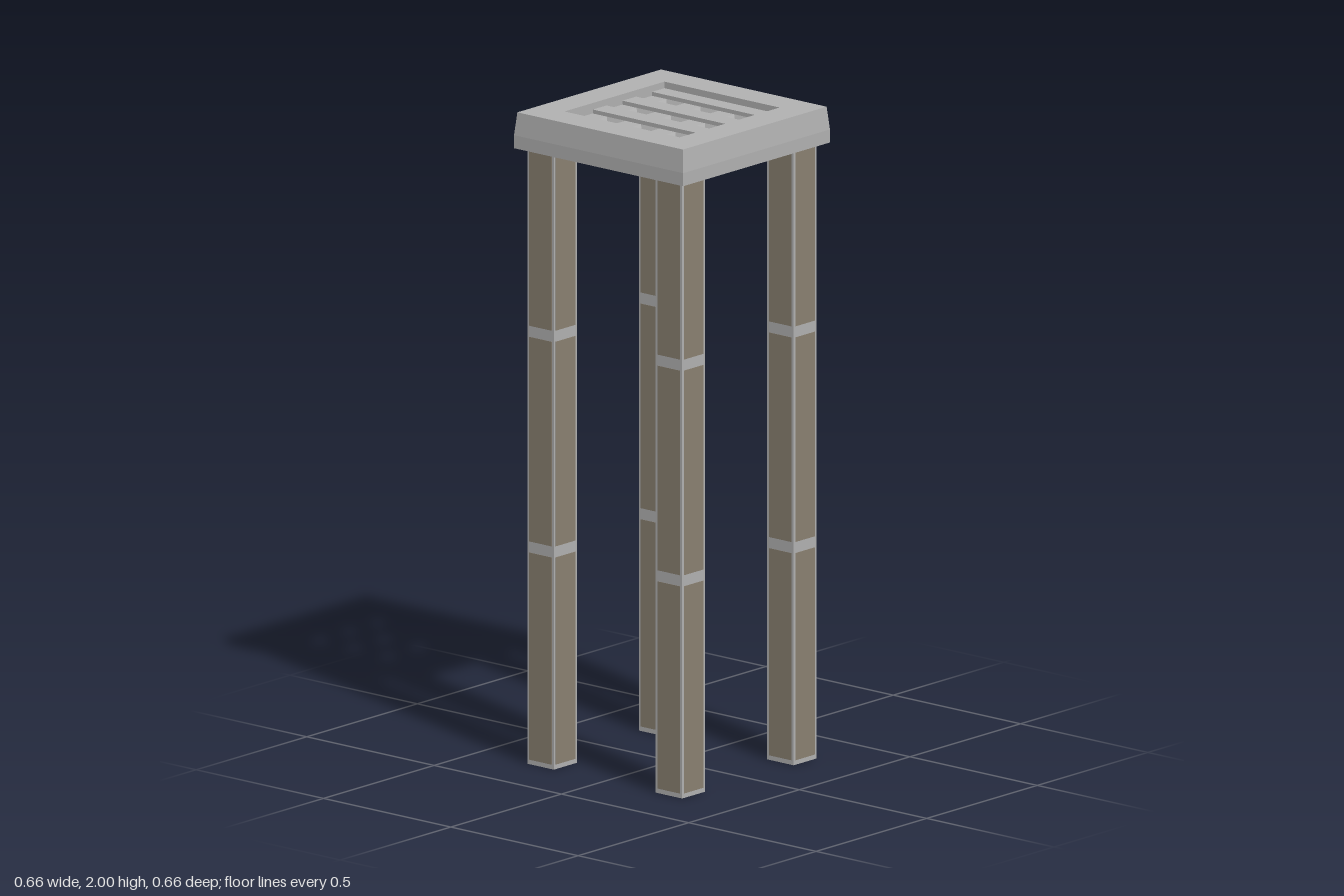
import * as THREE from 'three';

const grey = new THREE.MeshStandardMaterial({ color: 0xb2b2b2 });
grey.name = 'grey metal';
const brown = new THREE.MeshStandardMaterial({ color: 0x8b8171 });
brown.name = 'taupe panel';

function add(parent, name, geometry, material, x = 0, y = 0, z = 0) {
  const mesh = new THREE.Mesh(geometry, material);
  mesh.name = name;
  mesh.position.set(x, y, z);
  parent.add(mesh);
  return mesh;
}

// Sweeps a profile of [half width, height] pairs around a square, with flat faces.
function squareLathe(profile) {
  const points = profile.map(([r, y]) => new THREE.Vector2(r * Math.SQRT2, y));
  const geometry = new THREE.LatheGeometry(points, 4, Math.PI / 4).toNonIndexed();
  geometry.computeVertexNormals();
  return geometry;
}

// Square leg with three panels on every side, separated by bands
function makeLeg(name) {
  const leg = new THREE.Group();
  leg.name = name;
  const width = 0.104, height = 1.9;
  add(leg, 'legCore', new THREE.BoxGeometry(width, height, width), grey, 0, height / 2, 0);
  for (let side = 0; side < 4; side++) {
    const face = new THREE.Group();
    face.name = 'legSide';
    face.rotation.y = side * Math.PI / 2;
    leg.add(face);
    for (const [low, high] of [[0.014, 0.65], [0.684, 1.312], [1.346, 1.89]]) {
      add(face, 'legPanel', new THREE.BoxGeometry(0.088, high - low, 0.002),
        brown, 0, (low + high) / 2, width / 2);
    }
  }
  return leg;
}

// Recessed grille: raised slats, lower crossbars and tapered square holes
function makeGrille() {
  const grille = new THREE.Group();
  grille.name = 'grille';
  const centres = [-0.134, 0, 0.134];
  const half = 0.226, hole = 0.036, neck = 0.024;
  const slatTop = 1.98, barTop = 1.968, floor = 1.945;

  // Solid stretches between neighbouring holes
  const edges = [-half, ...centres.flatMap(c => [c - hole, c + hole]), half];
  for (let i = 0; i < edges.length; i += 2) {
    const size = edges[i + 1] - edges[i];
    const mid = (edges[i + 1] + edges[i]) / 2;
    add(grille, 'slat', new THREE.BoxGeometry(half * 2, slatTop - floor, size),
      grey, 0, (slatTop + floor) / 2, mid);
    for (const z of centres) {
      add(grille, 'crossbar', new THREE.BoxGeometry(size, barTop - floor, hole * 2),
        grey, mid, (barTop + floor) / 2, z);
    }
  }

  // Underside sheet pierced by the hole necks
  const sheet = new THREE.Shape([
    new THREE.Vector2(-half, -half), new THREE.Vector2(half, -half),
    new THREE.Vector2(half, half), new THREE.Vector2(-half, half)]);
  for (const x of centres) {
    for (const z of centres) {
      add(grille, 'holeWalls', squareLathe([[hole, barTop], [neck, floor - 0.001]]), grey, x, 0, z);
      sheet.holes.push(new THREE.Path([
        new THREE.Vector2(x - neck, z - neck), new THREE.Vector2(x - neck, z + neck),
        new THREE.Vector2(x + neck, z + neck), new THREE.Vector2(x + neck, z - neck)]));
    }
  }
  const under = add(grille, 'grilleUnderside', new THREE.ShapeGeometry(sheet), grey, 0, floor - 0.001, 0);
  under.rotation.x = Math.PI / 2;
  return grille;
}

export function createModel() {
  const model = new THREE.Group();
  model.name = 'tallStool';

  // Hollow seat frame with a straight skirt and a slightly tapered upper edge
  add(model, 'seatFrame', squareLathe([
    [0.205, 1.89], [0.332, 1.89], [0.332, 1.93], [0.325, 2], [0.226, 2],
    [0.226, 1.943], [0.205, 1.943], [0.205, 1.89]]), grey);
  model.add(makeGrille());

  // Four legs under the corners
  for (const [name, x, z] of [['frontLeftLeg', 1, 1], ['frontRightLeg', -1, 1],
    ['backLeftLeg', 1, -1], ['backRightLeg', -1, -1]]) {
    const leg = makeLeg(name);
    leg.position.set(x * 0.252, 0, z * 0.252);
    model.add(leg);
  }
  return model;
}
